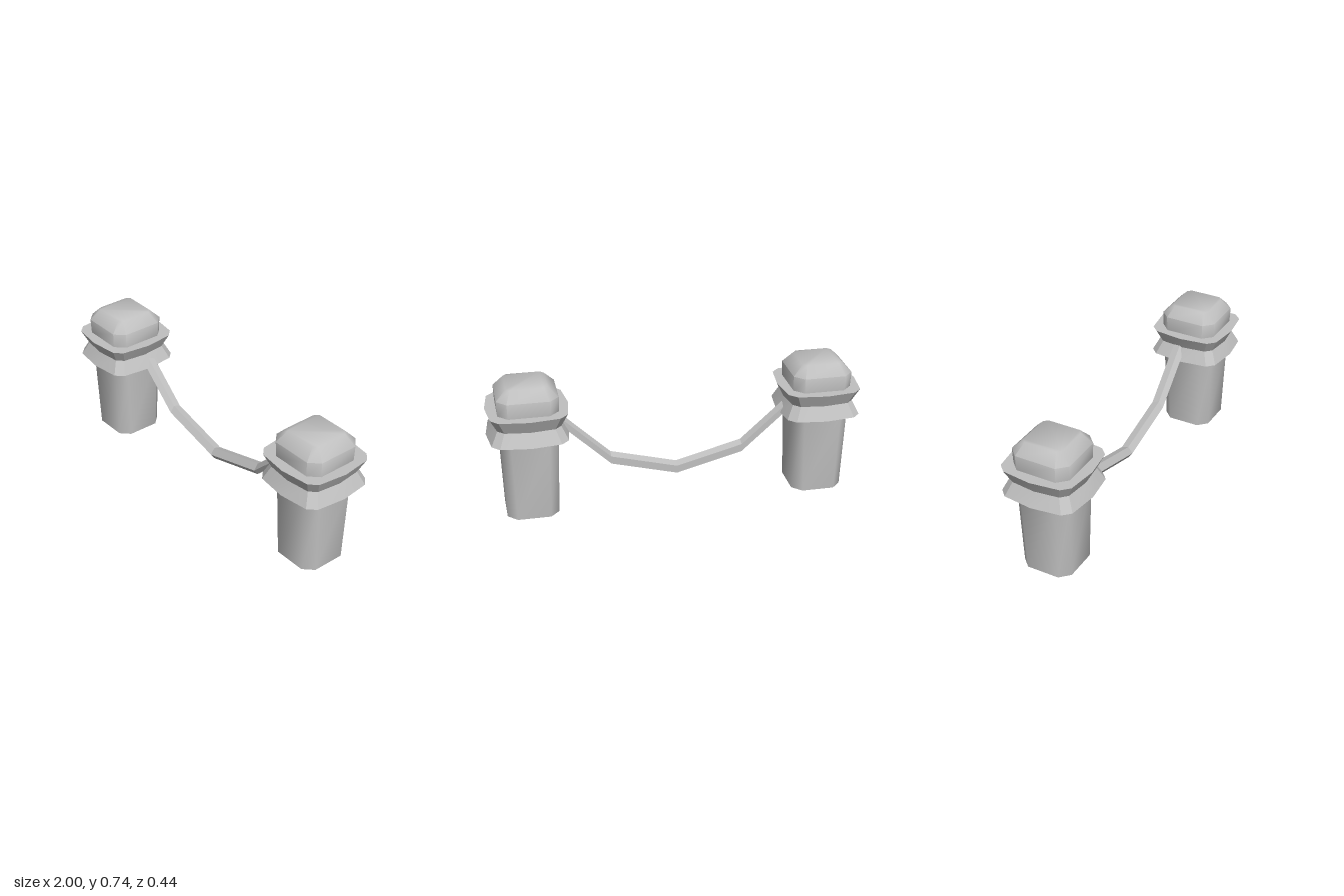
import * as THREE from 'three';
import { toCreasedNormals } from 'three/addons/utils/BufferGeometryUtils.js';

// Skin a list of equally sized closed rings (arrays of [x, y, z]) and cap both ends.
function loft(rings, crease) {
  const n = rings[0].length;
  const index = [];
  for (let r = 0; r < rings.length - 1; r++) {
    for (let i = 0; i < n; i++) {
      const a = r * n + i, b = r * n + (i + 1) % n;
      index.push(a, b, b + n, a, b + n, a + n);
    }
  }
  const last = (rings.length - 1) * n;
  for (let i = 1; i < n - 1; i++) {
    index.push(0, i + 1, i, last, last + i, last + i + 1);
  }
  const geometry = new THREE.BufferGeometry();
  geometry.setAttribute('position', new THREE.Float32BufferAttribute(rings.flat(2), 3));
  geometry.setIndex(index);
  return toCreasedNormals(geometry, crease);
}

// Square ring with cut corners; bulge pushes the middle of each side outwards.
function squareRing(y, half, cut, bulge = 0) {
  const h = half - bulge, c = half - cut;
  const ring = [];
  for (let k = 0; k < 4; k++) {
    const cos = Math.round(Math.cos(k * Math.PI / 2));
    const sin = Math.round(Math.sin(k * Math.PI / 2));
    const side = bulge ? [[-c, h], [0, half], [c, h]] : [[-c, h], [c, h]];
    for (const [x, z] of side) ring.push([x * cos + z * sin, y, z * cos - x * sin]);
  }
  return ring;
}

export function createModel() {
  const group = new THREE.Group();
  const stone = new THREE.MeshStandardMaterial({ color: 0xc0c0c0 });
  stone.name = 'light grey';

  const parts = {
    // tapered shaft
    shaft: loft([squareRing(0, 0.138, 0.05), squareRing(0.46, 0.151, 0.05)], 0.9),
    // pinched double-flared collar with slightly bowed sides
    collar: loft([
      squareRing(0.452, 0.218, 0.06, 0.02),
      squareRing(0.525, 0.18, 0.05, 0.016),
      squareRing(0.598, 0.217, 0.06, 0.02),
    ], 0.55),
    // head with sloped shoulders
    head: loft([
      squareRing(0.59, 0.157, 0.05),
      squareRing(0.68, 0.16, 0.05),
      squareRing(0.735, 0.107, 0.02),
    ], 0.9),
  };

  for (const side of [-1, 1]) {
    const post = new THREE.Group();
    post.name = side < 0 ? 'rightPost' : 'leftPost';
    for (const [name, geometry] of Object.entries(parts)) {
      const mesh = new THREE.Mesh(geometry, stone);
      mesh.name = name;
      post.add(mesh);
    }
    post.position.x = side * 0.782;
    group.add(post);
  }

  // five-sided rope hanging between the posts
  const path = [[-0.645, 0.515], [-0.362, 0.26], [-0.005, 0.166], [0.352, 0.26], [0.64, 0.537]];
  const ropeRings = path.map(([x, y]) =>
    Array.from({ length: 5 }, (_, i) => {
      const a = -i * Math.PI * 2 / 5;
      return [x, y + 0.036 * Math.sin(a), -0.027 + 0.036 * Math.cos(a)];
    }));
  const rope = new THREE.Mesh(loft(ropeRings, 0.1), stone);
  rope.name = 'rope';
  group.add(rope);

  return group;
}
